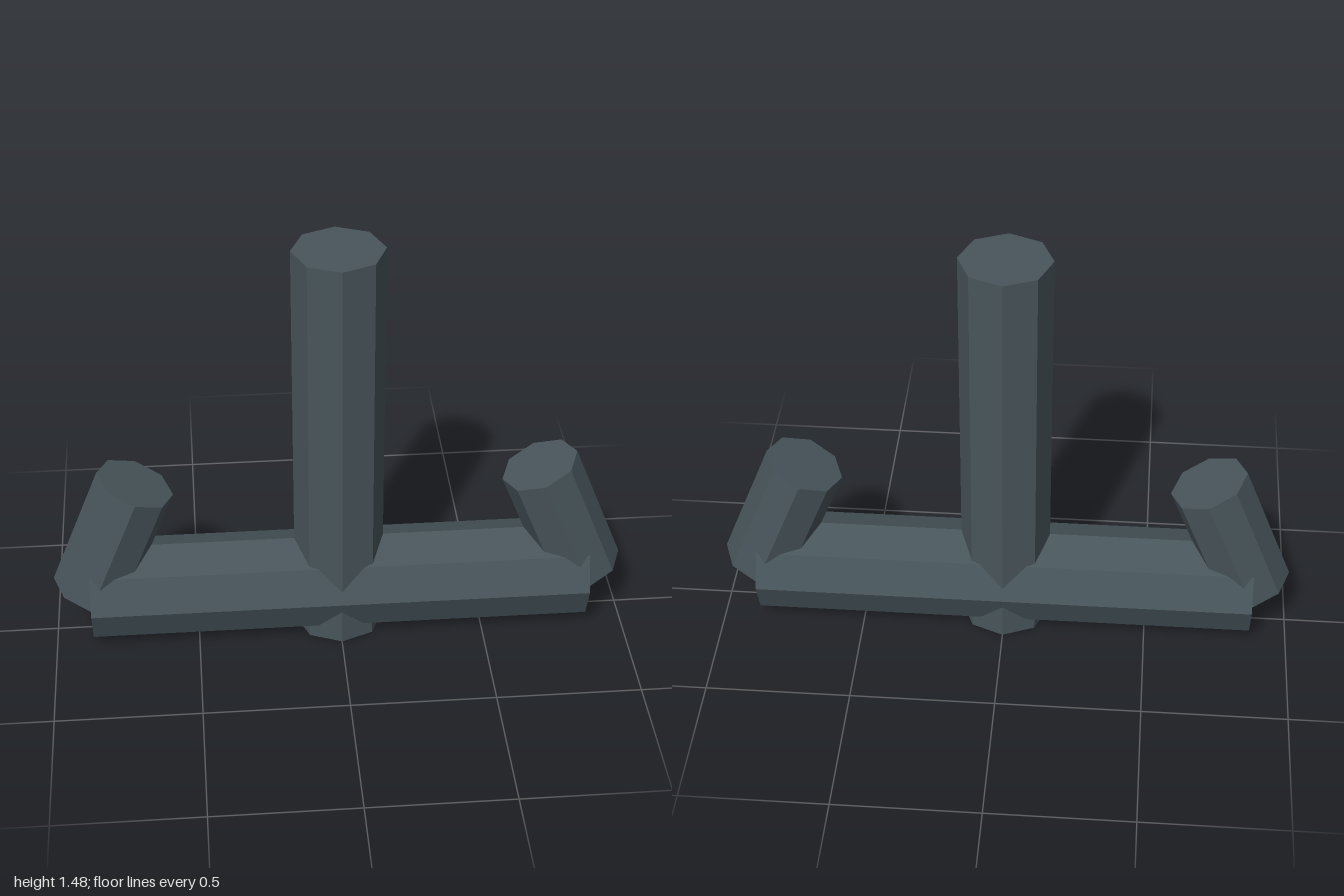
import * as THREE from 'three';

export function createModel() {
  const group = new THREE.Group();
  const material = new THREE.MeshStandardMaterial({ color: 0x48555b, flatShading: true });

  // Eight-sided bar running between two points
  function bar(name, from, to, radius) {
    const axis = new THREE.Vector3().subVectors(to, from);
    const mesh = new THREE.Mesh(
      new THREE.CylinderGeometry(radius, radius, axis.length(), 8), material);
    mesh.name = name;
    mesh.position.addVectors(from, to).multiplyScalar(0.5);
    mesh.quaternion.setFromUnitVectors(new THREE.Vector3(0, 1, 0), axis.normalize());
    group.add(mesh);
  }
  const at = (x, y) => new THREE.Vector3(x, y, 0);

  // Upright post and the crossbar through its foot
  bar('post', at(0, 0), at(0, 1.482), 0.156);
  bar('crossbar', at(-0.87, 0.174), at(0.87, 0.174), 0.174);

  // Short arms leaning inward from the crossbar ends
  for (const [name, side] of [['leftArm', 1], ['rightArm', -1]]) {
    bar(name, at(side * 0.872, 0.174), at(side * 0.697, 0.609), 0.138);
  }
  return group;
}
